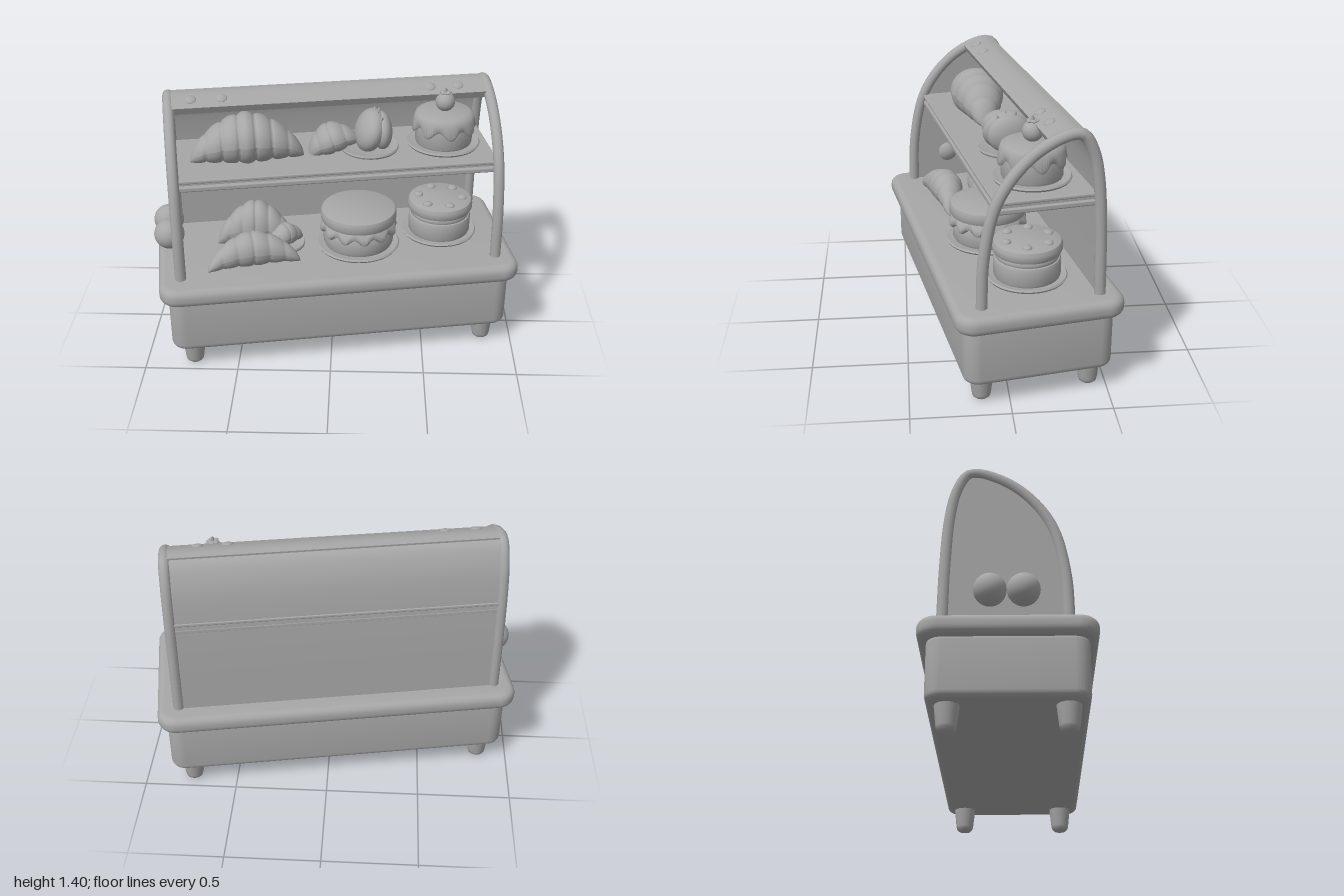
import * as THREE from 'three';
import { toCreasedNormals } from 'three/addons/utils/BufferGeometryUtils.js';
import { RoundedBoxGeometry } from 'three/addons/geometries/RoundedBoxGeometry.js';

const clay = new THREE.MeshStandardMaterial({ color: 0xa6a6a6 });
clay.name = 'clay grey';

export function createModel() {
  const root = new THREE.Group();
  root.name = 'pastryDisplayCase';
  // The whole case stands slightly turned
  root.rotation.y = 0.171;

  function add(name, geo, x = 0, y = 0, z = 0, parent = root) {
    const m = new THREE.Mesh(geo, clay);
    m.name = name;
    m.position.set(x, y, z);
    parent.add(m);
    return m;
  }
  function group(name, x, y, z, ry = 0) {
    const g = new THREE.Group();
    g.name = name;
    g.position.set(x, y, z);
    g.rotation.y = ry;
    root.add(g);
    return g;
  }
  const v2 = (a) => a.map(([x, y]) => new THREE.Vector2(x, y));
  const lathe = (pts, seg = 40, crease = 0.7) => toCreasedNormals(new THREE.LatheGeometry(v2(pts), seg), crease);

  // Horizontal slab with rounded corners and soft edges
  function slab(w, d, r, y0, y1, b) {
    const X = w / 2 - b, Z = d / 2 - b, c = r - b;
    const s = new THREE.Shape();
    s.absarc(X - c, Z - c, c, 0, Math.PI / 2);
    s.absarc(-X + c, Z - c, c, Math.PI / 2, Math.PI);
    s.absarc(-X + c, -Z + c, c, Math.PI, Math.PI * 1.5);
    s.absarc(X - c, -Z + c, c, Math.PI * 1.5, Math.PI * 2);
    const g = new THREE.ExtrudeGeometry(s, {
      depth: y1 - y0 - 2 * b, bevelSize: b, bevelThickness: b, bevelSegments: 5, curveSegments: 10,
    });
    g.rotateX(-Math.PI / 2);
    g.translate(0, y0 + b, 0);
    return toCreasedNormals(g, 0.6);
  }

  // Counter
  add('base', slab(1.83, 0.765, 0.08, 0.13, 0.45, 0.035));
  add('counterRim', slab(1.92, 0.855, 0.1, 0.43, 0.53, 0.04));
  for (const x of [-0.8, 0.8]) for (const z of [-0.28, 0.28]) {
    add('foot', lathe([[0, 0], [0.032, 0.002], [0.045, 0.014], [0.049, 0.03], [0.062, 0.15], [0, 0.15]], 24), x, 0, z);
  }

  // Side profile of the hood as (z, y), from the front foot over the ridge to the back foot
  const frontPts = [[0.288, 0.52], [0.277, 0.78], [0.226, 1.03], [0.153, 1.165], [0.047, 1.277], [-0.06, 1.342], [-0.15, 1.37]];
  const backPts = [[-0.2, 1.362], [-0.253, 1.27], [-0.284, 1.12], [-0.302, 0.86], [-0.31, 0.52]];
  const toCurve = (pts) => new THREE.CatmullRomCurve3(pts.map(([z, y]) => new THREE.Vector3(0, y, z)));
  const hood = toCurve([...frontPts, ...backPts]);
  const X = 0.845;

  // Extrudes a (z, y) outline along x, centred at x0
  function extrudeX(pts, len, x0 = 0) {
    const g = new THREE.ExtrudeGeometry(new THREE.Shape(v2(pts)), { depth: len, bevelEnabled: false });
    g.rotateY(-Math.PI / 2);
    g.translate(x0 + len / 2, 0, 0);
    return toCreasedNormals(g, 0.6);
  }
  // Curved plate between an outline and the same outline moved inward
  function plate(curve, n, t) {
    const pts = curve.getPoints(n);
    const outer = [], inner = [];
    pts.forEach((p, i) => {
      const tan = curve.getTangent(i / n);
      outer.push([p.z - tan.y * -t, p.y - tan.z * t]);
      inner.push([p.z - tan.y * t, p.y + tan.z * t]);
    });
    return [...outer, ...inner.reverse()];
  }
  for (const s of [-1, 1]) add('endArch', new THREE.TubeGeometry(hood, 70, 0.029, 12), s * X);
  add('backPanel', extrudeX(plate(toCurve([[-0.15, 1.37], ...backPts]), 24, 0.015), 2 * X));
  add('endWall', extrudeX(hood.getPoints(50).map((p) => [p.z, p.y]), 0.02, -X));
  add('ridgeBeam', extrudeX(plate(toCurve([[-0.04, 1.333], [-0.09, 1.356], [-0.15, 1.372], [-0.2, 1.366]]), 10, 0.022), 2 * X));
  for (const x of [-0.73, -0.57, 0.53, 0.68]) {
    const bolt = add('ridgeBolt', new THREE.SphereGeometry(0.03, 16, 10), x, 1.376, -0.085);
    bolt.scale.y = 0.4;
    bolt.rotation.x = 0.4;
  }

  // Shelf with a channel along its edge
  add('shelfTop', new RoundedBoxGeometry(1.69, 0.018, 0.53, 2, 0.006), 0, 1.055, -0.045);
  add('shelfCore', new THREE.BoxGeometry(1.66, 0.04, 0.49), 0, 1.034, -0.045);
  add('shelfBottom', new RoundedBoxGeometry(1.69, 0.028, 0.53, 2, 0.008), 0, 1.014, -0.045);

  // Round knobs through the end wall
  for (const z of [-0.085, 0.075]) add('wallKnob', new THREE.SphereGeometry(0.08, 28, 20), -0.89, 0.685, z);

  // Segmented roll lying along x, bent towards +z at its tips
  function croissant(name, len, h, w, bend, x, y, z, ry = 0, ridges = 7) {
    const pts = [];
    const n = 70;
    for (let i = 0; i <= n; i++) {
      const t = (i / n) * 2 - 1;
      const env = Math.pow(Math.max(0, 1 - t * t), 0.62) * (1 - 0.25 * Math.abs(t)) + 0.1 * Math.sqrt(Math.max(0, 1 - t ** 8));
      const ridge = 0.88 + 0.12 * Math.sqrt(Math.abs(Math.sin((t + 1) * ridges * Math.PI / 2)));
      pts.push(new THREE.Vector2(i === 0 || i === n ? 0 : env * ridge, t));
    }
    const g = new THREE.LatheGeometry(pts, 28);
    g.rotateZ(Math.PI / 2);
    const p = g.attributes.position;
    for (let i = 0; i < p.count; i++) {
      const t = p.getX(i);
      const lift = 0.85 * Math.pow(Math.max(0, 1 - t * t), 0.62) + 0.08;
      p.setXYZ(i, t * len / 2, Math.max(0, (p.getY(i) + lift) * h / 2), p.getZ(i) * w / 2 + bend * t * t);
    }
    g.computeVertexNormals();
    const m = add(name, g, x, y, z);
    m.rotation.y = ry;
    return m;
  }

  // Lathe whose lower edge hangs down in waves
  function wavy(pts, yEdge, n, amp, flare) {
    const g = new THREE.LatheGeometry(v2(pts), 96);
    const p = g.attributes.position;
    for (let i = 0; i < p.count; i++) {
      const x = p.getX(i), y = p.getY(i), z = p.getZ(i);
      if (y > yEdge) continue;
      const wave = Math.cos(n * Math.atan2(z, x));
      p.setXYZ(i, x * (1 + flare * wave), y - amp * wave, z * (1 + flare * wave));
    }
    g.computeVertexNormals();
    return toCreasedNormals(g, 0.8);
  }
  const dish = (r) => lathe([[0, 0], [r * 0.8, 0], [r * 0.97, 0.012], [r, 0.022], [r * 0.97, 0.03], [r * 0.85, 0.024], [0, 0.022]]);
  const drum = (r, y0, y1, b = 0.015) => lathe([[0, y0], [r - b, y0], [r - b * 0.3, y0 + b * 0.3], [r, y0 + b], [r, y1 - b], [r - b * 0.3, y1 - b * 0.3], [r - b, y1], [0, y1]]);

  // Upper shelf: large croissant
  croissant('largeCroissant', 0.6, 0.25, 0.27, 0.03, -0.455, 1.06, -0.02);

  // Upper shelf: dish with a filled pastry and a small roll leaning on it
  const snack = group('filledPastry', 0.2, 1.062, -0.02);
  add('dish', dish(0.155), 0, 0, 0, snack);
  const shell = add('foldedShell', new THREE.SphereGeometry(1, 32, 20), 0.0, 0.115, 0, snack);
  shell.scale.set(0.075, 0.115, 0.135);
  shell.rotation.z = -0.35;
  const filling = add('filling', new THREE.SphereGeometry(1, 28, 18), 0.06, 0.115, 0.01, snack);
  filling.scale.set(0.055, 0.1, 0.115);
  for (let i = 0; i < 4; i++) {
    const leaf = add('creamPeak', new THREE.ConeGeometry(0.032, 0.075, 12), 0.03 + 0.015 * (i % 2), 0.205 - 0.012 * Math.abs(i - 1.5), -0.06 + i * 0.04, snack);
    leaf.rotation.set((i - 1.5) * 0.3, 0, -0.25);
  }
  const lean = croissant('leaningRoll', 0.29, 0.15, 0.2, 0.01, 0.015, 1.07, -0.04, 0, 4);
  lean.rotation.z = 0.3;

  // Upper shelf: iced cake with a cherry
  const cake = group('cherryCake', 0.603, 1.062, -0.028);
  add('dish', dish(0.195), 0, 0, 0, cake);
  add('sponge', drum(0.152, 0.02, 0.15), 0, 0, 0, cake);
  add('icing', wavy([[0.14, 0.115], [0.16, 0.11], [0.168, 0.125], [0.162, 0.165], [0.152, 0.19], [0.13, 0.2], [0, 0.2]], 0.13, 8, 0.02, 0.04), 0, 0, 0, cake);
  add('cherry', new THREE.SphereGeometry(0.052, 24, 18), 0, 0.25, 0, cake);
  for (let i = 0; i < 5; i++) {
    const a = i * Math.PI * 0.4;
    const leaf = add('cherryLeaf', new THREE.SphereGeometry(0.016, 10, 8), 0.018 * Math.cos(a), 0.302, 0.018 * Math.sin(a), cake);
    leaf.scale.y = 0.45;
  }
  add('cherryStem', new THREE.CylinderGeometry(0.006, 0.008, 0.03, 8), 0, 0.312, 0, cake);

  // Lower counter: croissants
  croissant('frontCroissant', 0.5, 0.18, 0.17, 0.06, -0.46, 0.53, 0.17, 0.1, 6);
  croissant('backCroissant', 0.42, 0.24, 0.2, 0.05, -0.42, 0.53, -0.06, -0.1, 6);
  croissant('smallRoll', 0.22, 0.12, 0.12, 0.01, -0.27, 0.55, 0.03, 0.5, 4);
  add('rollDish', dish(0.11), -0.27, 0.53, 0.03);

  // Lower counter: sandwich cake with frilled cream
  const sand = group('frilledCake', 0.13, 0.53, 0.07);
  add('dish', dish(0.225), 0, 0, 0, sand);
  add('lowerLayer', drum(0.19, 0.02, 0.13, 0.025), 0, 0, 0, sand);
  add('upperLayer', drum(0.205, 0.165, 0.238, 0.02), 0, 0, 0, sand);
  add('creamFrill', wavy([[0, 0.11], [0.18, 0.11], [0.2, 0.118], [0.206, 0.135], [0.2, 0.155], [0.18, 0.175], [0, 0.175]], 0.16, 12, 0.014, 0.03), 0, 0, 0, sand);

  // Lower counter: layered cake with toppings
  const layer = group('layerCake', 0.6, 0.53, -0.01);
  add('dish', dish(0.205), 0, 0, 0, layer);
  add('sponge', drum(0.17, 0.02, 0.13, 0.015), 0, 0, 0, layer);
  add('cream', drum(0.162, 0.12, 0.16, 0.015), 0, 0, 0, layer);
  add('topLayer', drum(0.178, 0.15, 0.222, 0.025), 0, 0, 0, layer);
  for (let i = 0; i < 6; i++) {
    const a = i * Math.PI / 3 + 0.3;
    const dot = add('topping', new THREE.SphereGeometry(0.026, 14, 10), 0.12 * Math.cos(a), 0.222, 0.12 * Math.sin(a), layer);
    dot.scale.y = 0.6;
  }
  return root;
}
